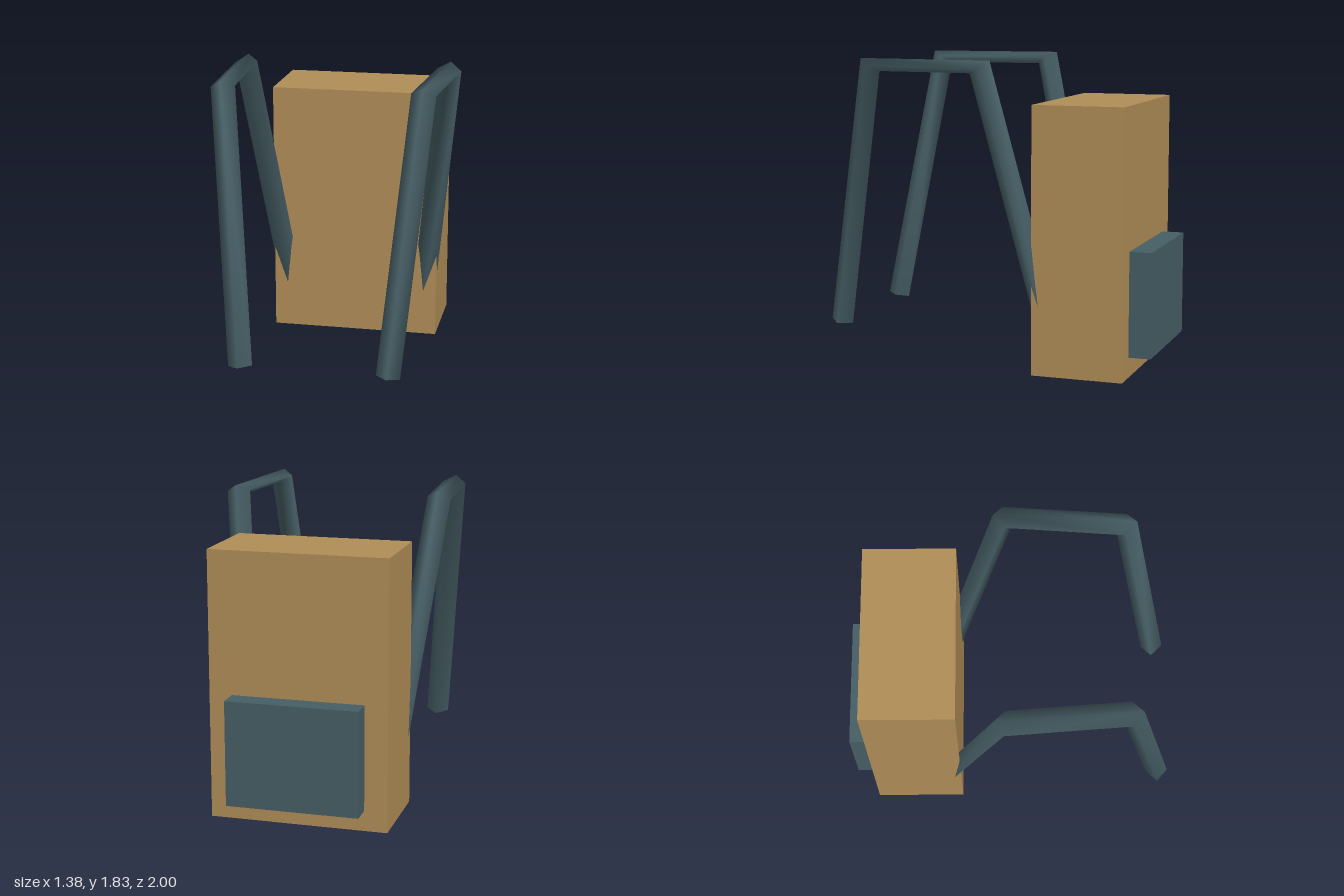
import * as THREE from 'three';

const tan = new THREE.MeshStandardMaterial({ color: 0xb08d57 });
tan.name = 'tanCanvas';
const slate = new THREE.MeshStandardMaterial({ color: 0x465e65 });
slate.name = 'slateWebbing';

// Strap sections for the +x side: centre, outward arm, sideways arm
const sections = [
  { c: [0.43, 0.217, 0.93], u: [0, 0.012, 0.069], v: [0.07, -0.006, 0.004] },
  { c: [0.57, 1.79, 0.66], u: [0, 0.037, 0.06], v: [0.07, -0.005, 0.005] },
  { c: [0.62, 1.79, -0.042], u: [0, 0.037, -0.06], v: [0.07, -0.008, -0.005] },
  { c: [0.43, 0.2, -0.412], u: [0, 0.016, -0.068], v: [0.069, -0.008, 0] },
];

// Four-sided smooth tube through the sections; side = 1 or -1 mirrors it
function strapGeometry(side) {
  const pos = [], idx = [];
  const tri = (a, b, c) => (side > 0 ? idx.push(a, b, c) : idx.push(a, c, b));
  const addRing = ({ c, u, v }) => {
    for (let k = 0; k < 4; k++) {
      const a = [1, 0, -1, 0][k], b = [0, 1, 0, -1][k];
      const p = c.map((n, i) => n + a * u[i] + b * v[i]);
      pos.push(p[0] * side, p[1], p[2]);
    }
  };
  sections.forEach(addRing);
  for (let r = 0; r < sections.length - 1; r++) {
    for (let k = 0; k < 4; k++) {
      const a = r * 4 + k, b = r * 4 + (k + 1) % 4;
      tri(a, b, b + 4);
      tri(a, b + 4, a + 4);
    }
  }
  // End caps with their own vertices, so their edges stay sharp
  const n = sections.length * 4;
  addRing(sections[0]);
  addRing(sections[sections.length - 1]);
  tri(n, n + 2, n + 1);
  tri(n, n + 3, n + 2);
  tri(n + 4, n + 5, n + 6);
  tri(n + 4, n + 6, n + 7);
  const g = new THREE.BufferGeometry();
  g.setAttribute('position', new THREE.Float32BufferAttribute(pos, 3));
  g.setIndex(idx);
  g.computeVertexNormals();
  return g;
}

export function createModel() {
  const model = new THREE.Group();
  model.name = 'backpack';
  const add = (name, geometry, material, x = 0, y = 0, z = 0) => {
    const mesh = new THREE.Mesh(geometry, material);
    mesh.name = name;
    mesh.position.set(x, y, z);
    model.add(mesh);
  };

  // Main bag and the pocket on its back
  add('bag', new THREE.BoxGeometry(1.05, 1.576, 0.548), tan, 0, 0.788, -0.594);
  add('backPocket', new THREE.BoxGeometry(0.78, 0.62, 0.14), slate, 0, 0.43, -0.93);

  // Shoulder straps
  add('leftStrap', strapGeometry(1), slate);
  add('rightStrap', strapGeometry(-1), slate);
  return model;
}
